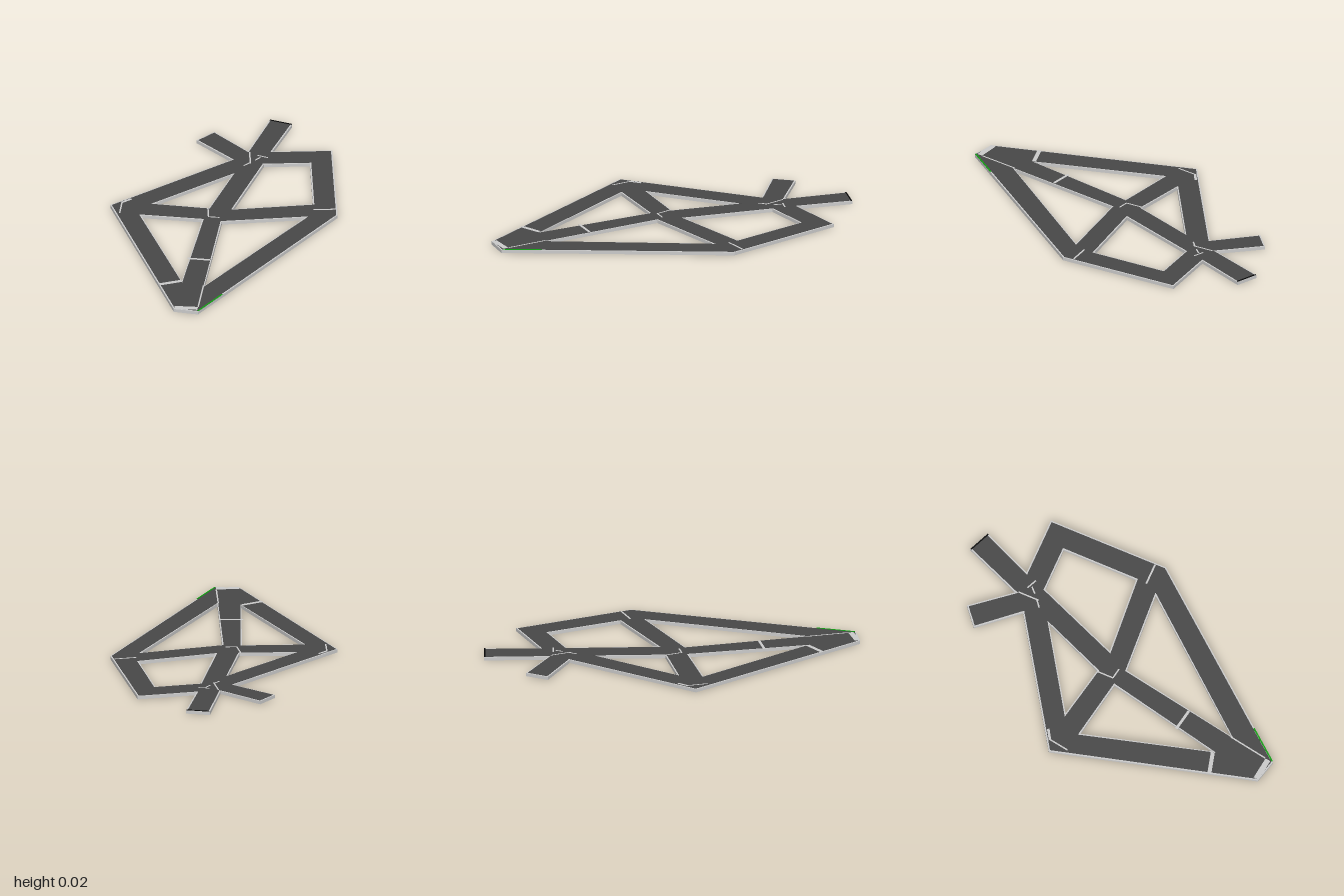
import * as THREE from 'three';

const THICK = 0.018; // slab height
const TOP = 0.02;    // height with the paving

// plan points are [x, z]
const outline = [[-0.315, 0.965], [-0.185, 0.998], [0.61, 0.015], [0.607, -0.665], [0.28, -0.665],
  [0.4, -0.948], [0.28, -1], [0.15, -0.675], [-0.025, -0.885], [-0.125, -0.8], [0.06, -0.59], [-0.617, -0.14]];
const openings = [
  [[0.058, -0.435], [-0.38, -0.145], [-0.085, -0.087]],
  [[0.23, -0.533], [0.48, -0.533], [0.48, -0.105], [0.045, -0.07]],
  [[-0.455, -0.025], [-0.125, 0.033], [-0.26, 0.675]],
  [[-0.02, 0.06], [0.437, 0.03], [-0.14, 0.73]],
];

// move every edge of a polygon outward by d (negative is inward)
function offset(points, d) {
  const p = points.map(([x, z]) => new THREE.Vector2(x, -z));
  if (THREE.ShapeUtils.isClockWise(p)) p.reverse();
  const n = p.length;
  return p.map((b, i) => {
    const u = b.clone().sub(p[(i + n - 1) % n]).normalize();
    const v = p[(i + 1) % n].clone().sub(b).normalize();
    const normal = new THREE.Vector2(u.y + v.y, -u.x - v.x).normalize();
    const reach = d / Math.max(0.4, normal.dot(new THREE.Vector2(u.y, -u.x)));
    return b.clone().addScaledVector(normal, reach);
  });
}

// flat plate with openings, its rim pulled in by inset
function plate(name, inset, y, depth, material) {
  const shape = new THREE.Shape(offset(outline, -inset));
  shape.holes = openings.map(o => new THREE.Path(offset(o, inset)));
  const geometry = new THREE.ExtrudeGeometry(shape, { depth, bevelEnabled: false });
  geometry.rotateX(-Math.PI / 2);
  const mesh = new THREE.Mesh(geometry, material);
  mesh.name = name;
  mesh.position.y = y;
  return mesh;
}

// thin bar between two plan points
function bar(name, [x1, z1, x2, z2, width], y, height, material) {
  const mesh = new THREE.Mesh(new THREE.BoxGeometry(Math.hypot(x2 - x1, z2 - z1), height, width), material);
  mesh.name = name;
  mesh.position.set((x1 + x2) / 2, y, (z1 + z2) / 2);
  mesh.rotation.y = -Math.atan2(z2 - z1, x2 - x1);
  return mesh;
}

export function createModel() {
  const grey = new THREE.MeshStandardMaterial({ color: 0xcccccc });
  const asphalt = new THREE.MeshStandardMaterial({ color: 0x484848 });
  const black = new THREE.MeshStandardMaterial({ color: 0x050505 });
  const green = new THREE.MeshStandardMaterial({ color: 0x10a010 });
  const model = new THREE.Group();
  model.name = 'roadNetwork';

  // kerbed slab and the darker paving on it
  model.add(plate('slab', 0, 0, THICK, grey));
  model.add(plate('paving', 0.008, THICK, TOP - THICK, asphalt));

  // light seams where road sections meet: x1, z1, x2, z2, width
  const seams = [
    [0.48, -0.045, 0.6, -0.045, 0.01],
    [-0.22, 0.44, -0.1, 0.462, 0.015],
    [-0.385, 0.708, -0.265, 0.676, 0.022],
    [-0.31, 0.952, -0.185, 0.967, 0.03],
    [-0.182, 0.95, -0.145, 0.73, 0.008],
    [-0.57, -0.05, -0.552, -0.165, 0.008],
    [-0.555, -0.16, -0.5, -0.195, 0.014],
    [0.158, -0.66, 0.158, -0.54, 0.008],
    [0.12, -0.52, 0.158, -0.552, 0.008],
    [0.2, -0.625, 0.255, -0.6, 0.008],
    [0.185, -0.575, 0.215, -0.605, 0.008],
    [-0.09, -0.085, -0.09, 0.01, 0.008],
    [-0.09, 0.008, -0.03, 0.018, 0.008],
  ];
  seams.forEach(s => model.add(bar('seam', s, TOP, 0.001, grey)));

  // coloured marks on the road ends
  model.add(bar('blackEndMark', [0.281, -0.994, 0.397, -0.944, 0.008], TOP, 0.002, black));
  model.add(bar('greenEdgeMark', [-0.184, 0.992, -0.048, 0.824, 0.008], TOP, 0.002, green));
  return model;
}
